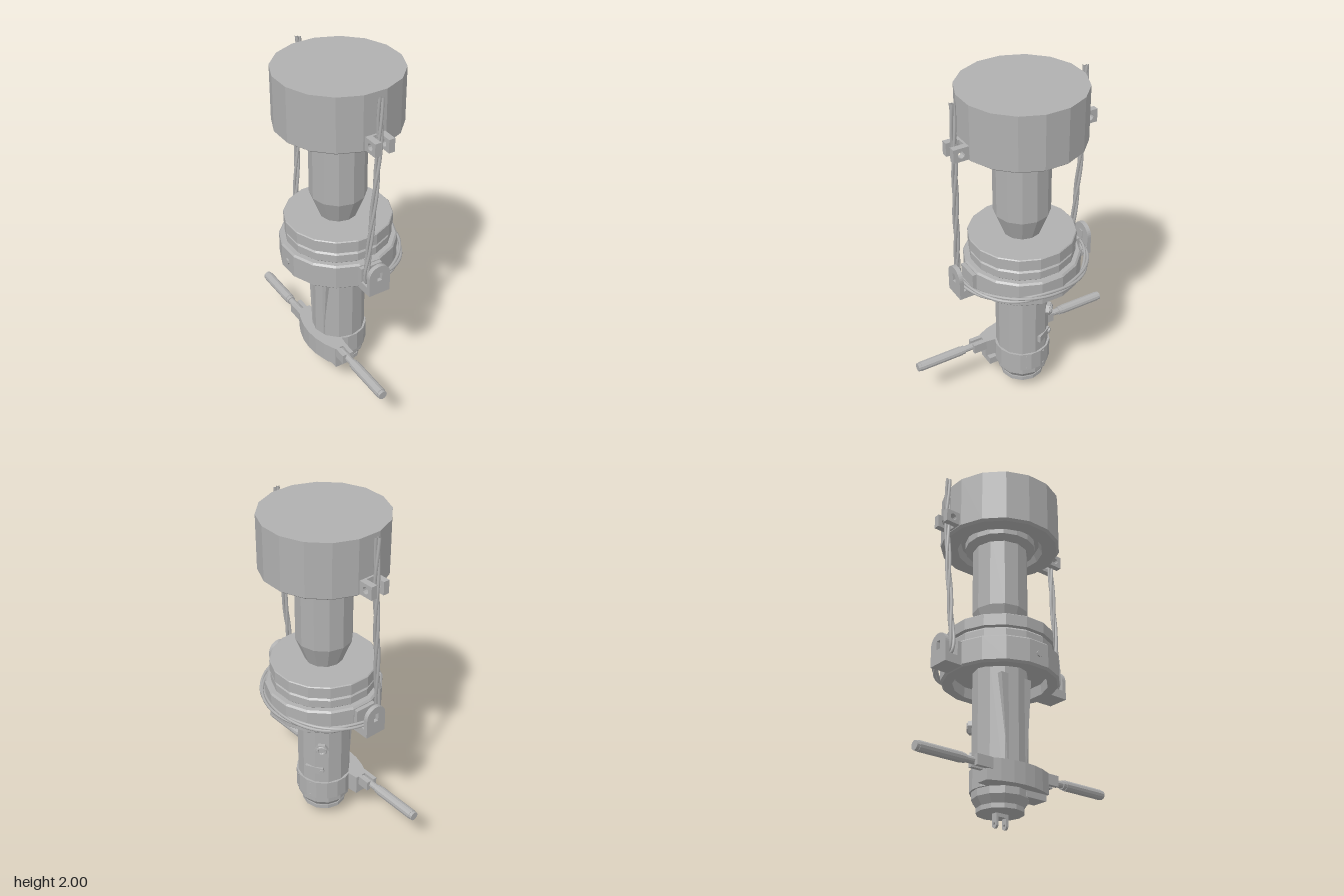
import * as THREE from 'three';

export function createModel() {
  const model = new THREE.Group();
  const grey = new THREE.MeshStandardMaterial({ color: 0xb0b0b0 });
  grey.name = 'machine grey';

  // Faceted mesh helper
  const add = (name, geometry, parent = model, smooth = false) => {
    let g = geometry;
    if (!smooth) {
      g = geometry.index ? geometry.toNonIndexed() : geometry;
      g.computeVertexNormals();
    }
    const mesh = new THREE.Mesh(g, grey);
    mesh.name = name;
    parent.add(mesh);
    return mesh;
  };
  // Box given by its limits
  const box = (name, x0, x1, y0, y1, z0, z1, parent) =>
    add(name, new THREE.BoxGeometry(x1 - x0, y1 - y0, z1 - z0), parent)
      .position.set((x0 + x1) / 2, (y0 + y1) / 2, (z0 + z1) / 2);
  // Turned part from [radius, y] pairs, listed bottom to top
  const turned = (name, profile, sides, turn = 0) => {
    const pts = profile.map(([r, y]) => new THREE.Vector2(r, y));
    const mesh = add(name, new THREE.LatheGeometry(pts, sides, turn));
    mesh.position.x = -0.005;
    return mesh;
  };
  const half = Math.PI / 16;

  // Top drum with recessed underside
  turned('topDrum', [[0, 1.71], [0.23, 1.71], [0.25, 1.668], [0.335, 1.668], [0.35, 1.68], [0.35, 1.99], [0, 1.99]], 16, half);
  turned('drumCollar', [[0.15, 1.645], [0.165, 1.645], [0.205, 1.668], [0.205, 1.71]], 16, half);
  // Upper column with tapered foot
  turned('upperColumn', [[0.105, 1.1], [0.16, 1.24], [0.16, 1.7]], 12);
  // Stacked discs and hollow flange
  turned('upperDisc', [[0.28, 1.03], [0.305, 1.035], [0.305, 1.1], [0.3, 1.105], [0, 1.105]], 16, half);
  turned('middleDisc', [[0.29, 0.96], [0.3, 0.97], [0.3, 1.015], [0.285, 1.03], [0.2, 1.035]], 16, half);
  turned('flange', [[0, 0.87], [0.26, 0.87], [0.265, 0.81], [0.32, 0.81], [0.333, 0.822], [0.333, 0.955], [0.323, 0.965], [0, 0.965]], 16, half);
  // Lower body with stepped nose
  turned('lowerBody', [[0, 0.08], [0.125, 0.08], [0.125, 0.108], [0.155, 0.15], [0.155, 0.88]], 12);
  turned('noseRing', [[0.11, 0.08], [0.13, 0.08], [0.13, 0.105], [0.11, 0.105]], 12);
  turned('clampBand', [[0.15, 0.19], [0.165, 0.19], [0.165, 0.31], [0.15, 0.31]], 16, half);

  // Tapered stiffener on the right of the lower body
  const panel = new THREE.Shape([
    new THREE.Vector2(-0.105, 0.82), new THREE.Vector2(-0.065, 0.3),
    new THREE.Vector2(0.065, 0.3), new THREE.Vector2(0.105, 0.82)]);
  const stiffener = add('taperedStiffener', new THREE.ExtrudeGeometry(panel, { depth: 0.1, bevelEnabled: false }));
  stiffener.rotation.y = -Math.PI / 2;
  stiffener.position.x = -0.045;

  // Crescent wing that carries both handles (shape x, -z)
  const wing = new THREE.Shape();
  wing.moveTo(-0.08, -0.21);
  wing.lineTo(-0.07, -0.13);
  wing.lineTo(-0.07, 0.13);
  wing.lineTo(-0.08, 0.21);
  wing.lineTo(-0.155, 0.21);
  wing.quadraticCurveTo(-0.265, 0, -0.155, -0.21);
  const wingMesh = add('handleWing', new THREE.ExtrudeGeometry(wing, { depth: 0.12, bevelEnabled: false, curveSegments: 6 }));
  wingMesh.rotation.x = -Math.PI / 2;
  wingMesh.position.y = 0.19;
  box('wingFoot', -0.145, -0.045, 0.155, 0.2, 0.06, 0.2);

  // Arch plate for the rope guides
  const arch = new THREE.Shape();
  arch.moveTo(-0.066, 0.815);
  arch.lineTo(0.066, 0.815);
  arch.lineTo(0.066, 0.93);
  arch.absarc(0, 0.93, 0.066, 0, Math.PI);
  const slot = new THREE.Path([[-0.015, 0.9], [-0.015, 0.95], [0.015, 0.95], [0.015, 0.9]]
    .map(([x, y]) => new THREE.Vector2(x, y)));
  arch.holes.push(slot);

  // Drilled lug, drawn in z-y
  const lug = new THREE.Shape([[-0.045, -0.038], [0.045, -0.038], [0.045, 0.038], [-0.045, 0.038]]
    .map(([x, y]) => new THREE.Vector2(x, y)));
  lug.holes.push(new THREE.Path().absarc(0, 0, 0.02, 0, Math.PI * 2, true));

  for (const s of [1, -1]) {
    const side = s > 0 ? 'front' : 'back';

    // Handle: arm, shaft, grip and end rings
    const hx = s > 0 ? -0.115 : -0.134;
    const handle = new THREE.Group();
    handle.name = side + 'Handle';
    handle.position.set(hx, 0.28, 0);
    handle.rotation.x = s * Math.PI / 2;
    model.add(handle);
    for (const x of [-0.024, 0.024])
      box('handleYoke', x - 0.012, x + 0.012, -0.0, 0.001, 0, 0.001, handle);
    handle.children.forEach((m) => { m.scale.set(1, 105, 60); m.position.set(m.position.x, 0.232, 0); });
    const grip = (name, r, y0, y1) =>
      add(name, new THREE.CylinderGeometry(r, r, y1 - y0, 12), handle).position.y = (y0 + y1) / 2;
    grip('handleShaft', 0.02, 0.2, 0.35);
    grip('handleGrip', 0.029, 0.36, 0.625);
    grip('gripInnerRing', 0.026, 0.338, 0.36);
    grip('gripEndCap', 0.026, 0.625, 0.643);

    // Rope guide on the flange
    const guide = new THREE.Group();
    guide.name = side + 'RopeGuide';
    guide.position.x = -0.01;
    guide.rotation.y = s > 0 ? 0 : Math.PI;
    model.add(guide);
    box('guideBase', -0.066, 0.066, 0.815, 0.865, 0.28, 0.415, guide);
    box('guideBackBlock', -0.066, 0.066, 0.815, 0.95, 0.28, 0.35, guide);
    add('guideArch', new THREE.ExtrudeGeometry(arch, { depth: 0.025, bevelEnabled: false, curveSegments: 8 }), guide)
      .position.z = 0.405;
    box('guideWindow', -0.015, 0.015, 0.9, 0.95, 0.4, 0.408, guide);

    // Drilled lugs on the drum
    for (const x of [-0.062, 0.02]) {
      const m = add(side + 'DrumLug', new THREE.ExtrudeGeometry(lug, { depth: 0.036, bevelEnabled: false, curveSegments: 6 }));
      m.rotation.y = Math.PI / 2;
      m.position.set(x, 1.722, s * 0.387);
    }
    box(side + 'LugBack', -0.062, 0.056, 1.684, 1.76, s > 0 ? 0.32 : -0.355, s > 0 ? 0.355 : -0.32);

    // Clevis prong under the nose
    const prong = new THREE.Shape();
    prong.moveTo(0.018, 0.08);
    prong.lineTo(-0.018, 0.08);
    prong.lineTo(-0.018, 0.018);
    prong.absarc(0, 0.018, 0.018, Math.PI, Math.PI * 2);
    prong.holes.push(new THREE.Path().absarc(0, 0.022, 0.008, 0, Math.PI * 2, true));
    add(side + 'ClevisProng', new THREE.ExtrudeGeometry(prong, { depth: 0.014, bevelEnabled: false, curveSegments: 6 }))
      .position.set(-0.005, 0, s * 0.033 - 0.007);
  }
  box('clevisBridge', -0.023, 0.013, 0.06, 0.085, -0.04, 0.04);

  // Twisted rope: up the front, round the flange, up the back
  const run = [[-0.01, 1.985, 0.393], [-0.012, 1.72, 0.393], [-0.03, 1.4, 0.39], [-0.055, 1.05, 0.382],
    [-0.065, 0.92, 0.38], [-0.055, 0.882, 0.382], [0.03, 0.882, 0.382], [0.14, 0.875, 0.34],
    [0.245, 0.872, 0.248], [0.31, 0.876, 0.13]];
  const back = run.slice().reverse().map(([x, y, z]) => [x, y, -z]);
  back[back.length - 1][1] = 1.998;
  const path = new THREE.CatmullRomCurve3([...run, [0.333, 0.88, 0], ...back].map((p) => new THREE.Vector3(...p)));
  const steps = 220;
  const frames = path.computeFrenetFrames(steps, false);
  for (let k = 0; k < 3; k++) {
    const pts = [];
    for (let i = 0; i <= steps; i++) {
      const a = i * 0.13 + k * Math.PI * 2 / 3;
      pts.push(path.getPointAt(i / steps)
        .addScaledVector(frames.normals[i], 0.01 * Math.cos(a))
        .addScaledVector(frames.binormals[i], 0.01 * Math.sin(a)));
    }
    add('ropeStrand', new THREE.TubeGeometry(new THREE.CatmullRomCurve3(pts), steps, 0.009, 6), model, true);
  }

  // Fittings placed radially around the body (angle from +x towards -z)
  const radial = (name, angle, y) => {
    const g = new THREE.Group();
    g.name = name;
    g.position.set(-0.005, y, 0);
    g.rotation.y = angle;
    model.add(g);
    return g;
  };
  const stud = (name, parent, r, x0, x1, sides) => {
    const m = add(name, new THREE.CylinderGeometry(r, r, x1 - x0, sides), parent);
    m.rotation.z = -Math.PI / 2;
    m.position.x = (x0 + x1) / 2;
  };
  const port = radial('hexPort', Math.PI / 4, 0.565);
  stud('portNut', port, 0.04, 0.13, 0.172, 6);
  const ring = add('portRing', new THREE.TorusGeometry(0.024, 0.008, 6, 12), port);
  ring.rotation.y = Math.PI / 2;
  ring.position.x = 0.174;
  const latch = radial('latchPlate', Math.PI / 6, 0.4);
  box('plate', 0.13, 0.158, -0.022, 0.022, -0.05, 0.06, latch);
  const knob = radial('latchKnob', Math.PI / 4, 0.4);
  stud('knob', knob, 0.015, 0.13, 0.172, 8);
  stud('flangeBolt', radial('flangeBoltMount', Math.PI, 0.885), 0.018, 0.31, 0.335, 8);
  for (const a of [-0.35, 0.35])
    for (const y of [0.205, 0.295])
      stud('bandScrew', radial('bandScrewMount', a, y), 0.006, 0.15, 0.167, 6);
  return model;
}
